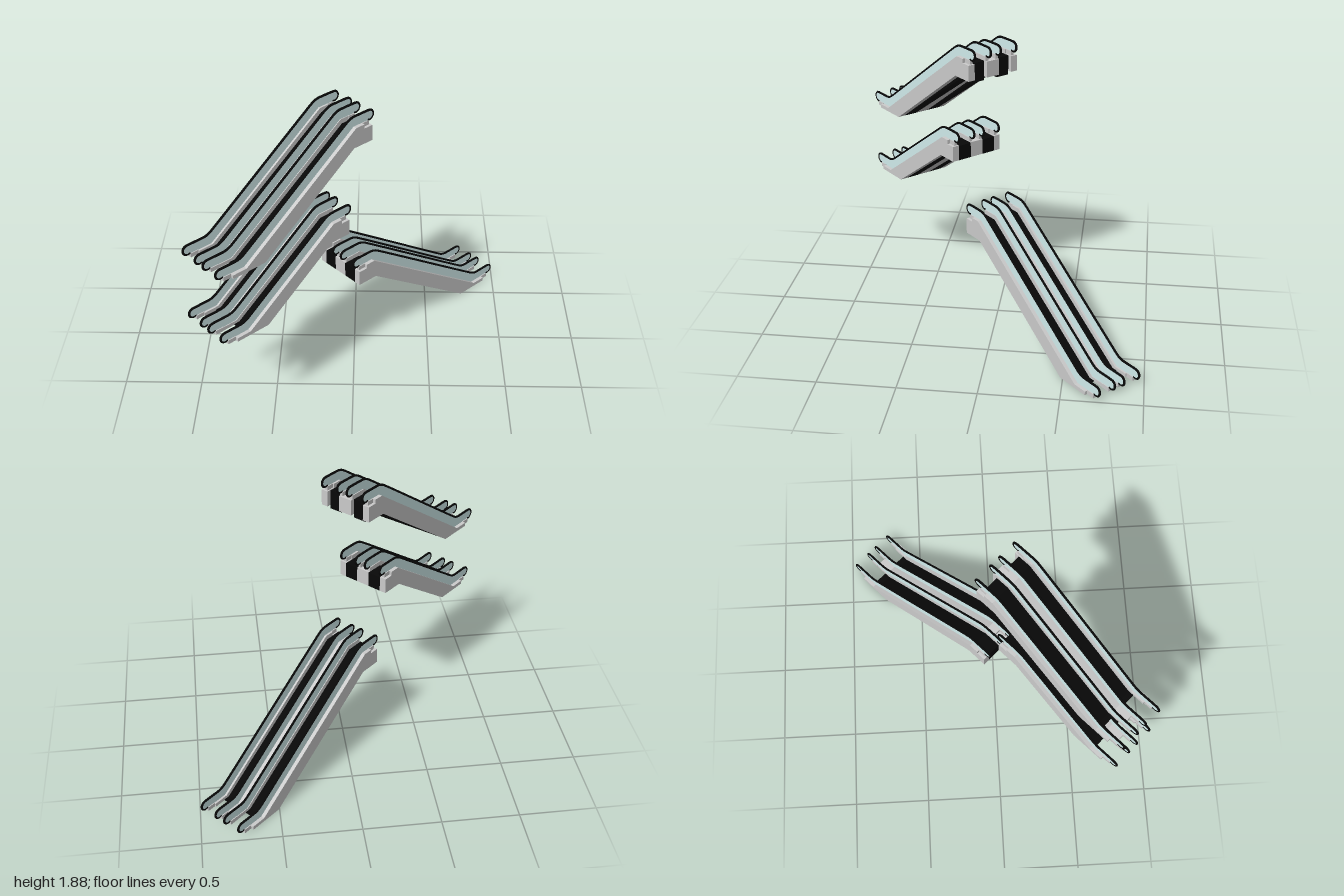
import * as THREE from 'three';

const SLOPE = 0.7;        // rise per unit of run
const GLASS_LOW = 0.025;  // glass panel edges above the base at the lower landing
const GLASS_TOP = 0.088;

const grey = new THREE.MeshStandardMaterial({ color: 0xcccccc });
const black = new THREE.MeshStandardMaterial({ color: 0x080808 });
const glass = new THREE.MeshStandardMaterial({ color: 0xd2eded });

// Extrudes a side profile (run, height) across the width from z0 to z1.
function slab(name, profile, z0, z1, material) {
  const shape = new THREE.Shape(profile.map(([x, y]) => new THREE.Vector2(x, y)));
  const geometry = new THREE.ExtrudeGeometry(shape, { depth: z1 - z0, bevelEnabled: false });
  geometry.translate(0, 0, z0);
  const mesh = new THREE.Mesh(geometry, material);
  mesh.name = name;
  return mesh;
}

// Small rounded bend through a corner, given the slopes on both sides.
function bend(x, y, slopeIn, slopeOut, d = 0.035) {
  const curve = new THREE.QuadraticBezierCurve(
    new THREE.Vector2(x - d, y - d * slopeIn),
    new THREE.Vector2(x, y),
    new THREE.Vector2(x + d, y + d * slopeOut));
  return curve.getPoints(5).map(p => [p.x, p.y]);
}

// Half circle at a balustrade end, from angle a0 through a1.
function endArc(cx, cy, r, a0, a1) {
  return Array.from({ length: 11 }, (_, i) => {
    const a = a0 + (a1 - a0) * i / 10;
    return [cx + r * Math.cos(a), cy + r * Math.sin(a)];
  });
}

// One pair of side-by-side escalators; x is the run, z the width.
function escalatorPair(name, rise, blackDrop = 0, blackInset = 0) {
  const pair = new THREE.Group();
  pair.name = name;
  const length = rise / SLOPE + 0.375;
  const end = length - 0.037;
  const soffit = rise - 0.107;
  const glassKink = 0.209 + rise / SLOPE;

  // Side and centre trusses with their skirts
  const truss = [
    [0.11, 0], [0.345, 0], [0.345 + soffit / SLOPE, soffit], [end, soffit],
    [end, rise - 0.003], [length - 0.1, rise - 0.003], [length - 0.1, rise + GLASS_LOW],
    [glassKink, rise + GLASS_LOW], [0.209, GLASS_LOW], [0.11, GLASS_LOW],
  ];
  for (const [z0, z1] of [[-0.187, -0.14], [-0.047, 0.047], [0.14, 0.187]]) {
    pair.add(slab('truss', truss, z0, z1, grey));
  }

  // Step bands between the trusses
  const stepEnd = end - blackInset;
  const bottom = soffit - blackDrop;
  const steps = [
    [0.19, 0], [0.345, 0], [0.345 + soffit / SLOPE, bottom], [stepEnd, bottom],
    [stepEnd, rise - 0.006], [glassKink + 0.01, rise - 0.006], [0.229, 0.006], [0.19, 0.006],
  ];
  for (const z of [-0.0935, 0.0935]) {
    pair.add(slab('stepBand', steps, z - 0.0465, z + 0.0465, black));
  }

  // Balustrade outline: lower end, bend up, bend level, upper end
  const r = (GLASS_TOP - GLASS_LOW) / 2;
  const cy = GLASS_LOW + r;
  const lowArc = endArc(r + 0.007, cy, r, 1.5 * Math.PI, 0.5 * Math.PI);
  const highArc = endArc(length - r - 0.007, rise + cy, r, 0.5 * Math.PI, -0.5 * Math.PI);
  const topEdge = [
    ...lowArc,
    ...bend(0.187, GLASS_TOP, 0, SLOPE),
    ...bend(0.187 + rise / SLOPE, rise + GLASS_TOP, SLOPE, 0),
    ...highArc,
  ];
  const panel = [...topEdge, [glassKink, rise + GLASS_LOW], [0.209, GLASS_LOW]];
  const railPath = [[0.055, GLASS_LOW + 0.004], ...topEdge, [length - 0.055, rise + GLASS_LOW + 0.004]];
  const railCurve = new THREE.CatmullRomCurve3(
    railPath.map(([x, y]) => new THREE.Vector3(x, y, 0)), false, 'centripetal');
  const railGeometry = new THREE.TubeGeometry(railCurve, 180, 0.0075, 8);

  for (const z of [-0.158, -0.038, 0.038, 0.158]) {
    pair.add(slab('glassPanel', panel, z - 0.004, z + 0.004, glass));

    const rail = new THREE.Mesh(railGeometry, black);
    rail.name = 'handrail';
    rail.position.z = z;
    pair.add(rail);

    // Feet under both ends of the balustrade
    for (const [x, y] of [[0.082, 0], [length - 0.077, rise - 0.003]]) {
      const foot = new THREE.Mesh(new THREE.BoxGeometry(0.056, 0.028, 0.02), grey);
      foot.name = 'balustradeFoot';
      foot.position.set(x, y + 0.014, z);
      pair.add(foot);
    }
  }
  return pair;
}

export function createModel() {
  const model = new THREE.Group();
  model.name = 'escalators';
  const heading = THREE.MathUtils.degToRad(43.4);

  // Each flight starts at its lower landing; the lowest one runs the other way
  const flights = [
    { pair: escalatorPair('lowerFlight', 0.705), y: 0, turn: Math.PI, z: 0.015 },
    { pair: escalatorPair('middleFlight', 0.47), y: 0.71, turn: 0, z: 0.01 },
    { pair: escalatorPair('upperFlight', 0.6, 0.025, 0.03), y: 1.18, turn: 0, z: 0.01 },
  ];
  for (const { pair, y, turn, z } of flights) {
    const holder = new THREE.Group();
    holder.name = pair.name + 'Holder';
    pair.position.set(-1.232, y, z);
    holder.rotation.y = heading + turn;
    holder.add(pair);
    model.add(holder);
  }
  return model;
}
